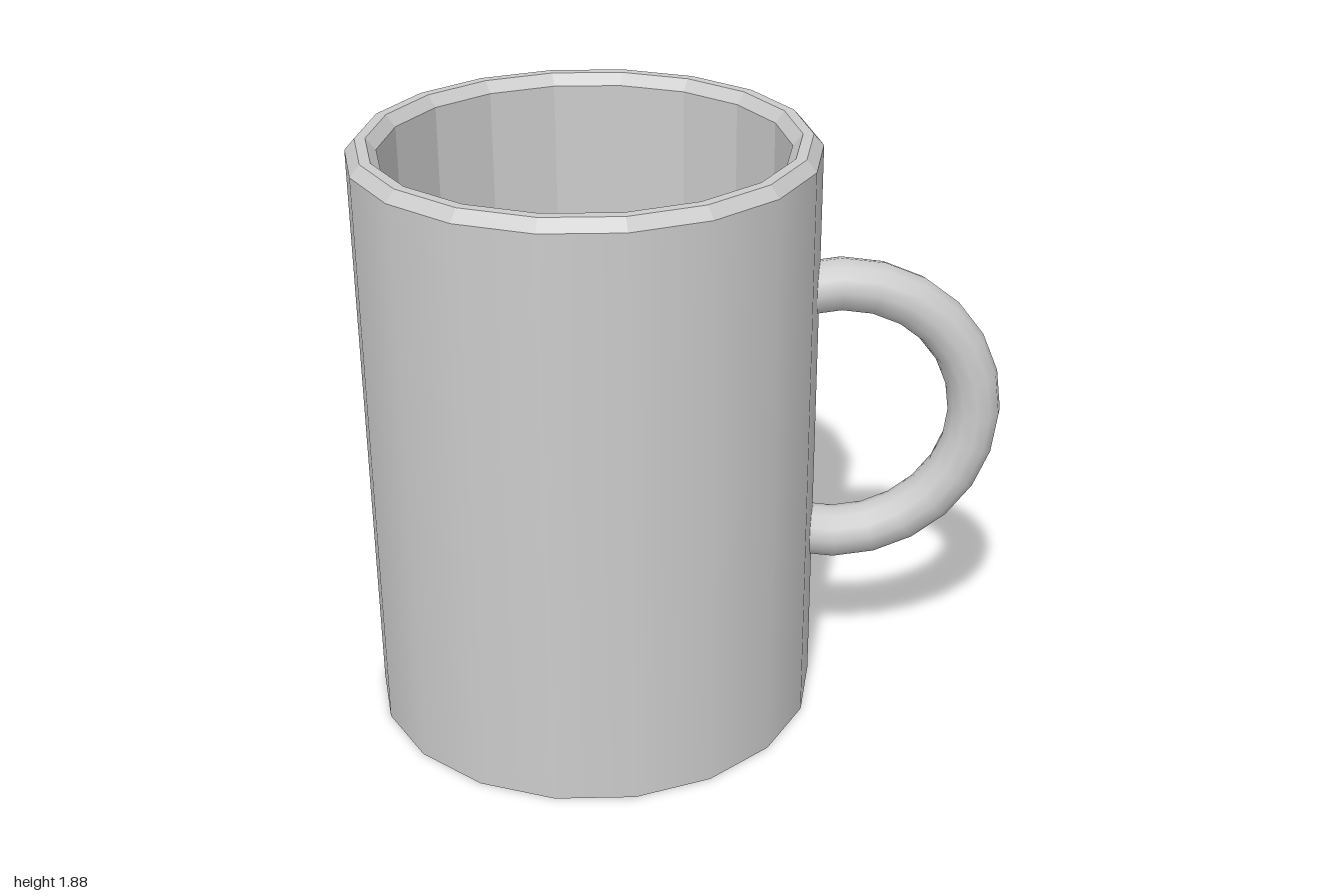
import * as THREE from 'three';

const SIDES = 18;
const AXIS_X = -0.292;

export function createModel() {
  const model = new THREE.Group();
  model.name = 'mug';
  const smooth = new THREE.MeshStandardMaterial({ color: 0xcccccc });
  const flat = new THREE.MeshStandardMaterial({ color: 0xcccccc, flatShading: true });

  // Turned part around the cup axis, with a corner pointing at the handle
  function turned(name, profile, material) {
    const points = profile.map(([r, y]) => new THREE.Vector2(r, y));
    const mesh = new THREE.Mesh(new THREE.LatheGeometry(points, SIDES, Math.PI / 2), material);
    mesh.name = name;
    mesh.position.x = AXIS_X;
    model.add(mesh);
  }

  // Cup: base, smooth outer wall, bevelled rim, faceted interior
  turned('base', [[0, 0], [0.708, 0]], flat);
  turned('outerWall', [[0.708, 0], [0.708, 1.84]], smooth);
  turned('rim', [[0.708, 1.84], [0.677, 1.875], [0.645, 1.875], [0.615, 1.84]], flat);
  turned('innerWall', [[0.615, 1.84], [0.615, 0.1]], flat);
  turned('innerFloor', [[0.615, 0.1], [0, 0.1]], flat);

  // Handle: ring segment whose ends sink into the wall
  const arc = THREE.MathUtils.degToRad(210);
  const ring = new THREE.TorusGeometry(0.434, 0.083, 12, 14, arc);
  ring.rotateZ(-arc / 2);
  const handle = new THREE.Mesh(ring, smooth);
  handle.name = 'handle';
  handle.position.set(0.483, 0.962, 0);
  model.add(handle);

  return model;
}
